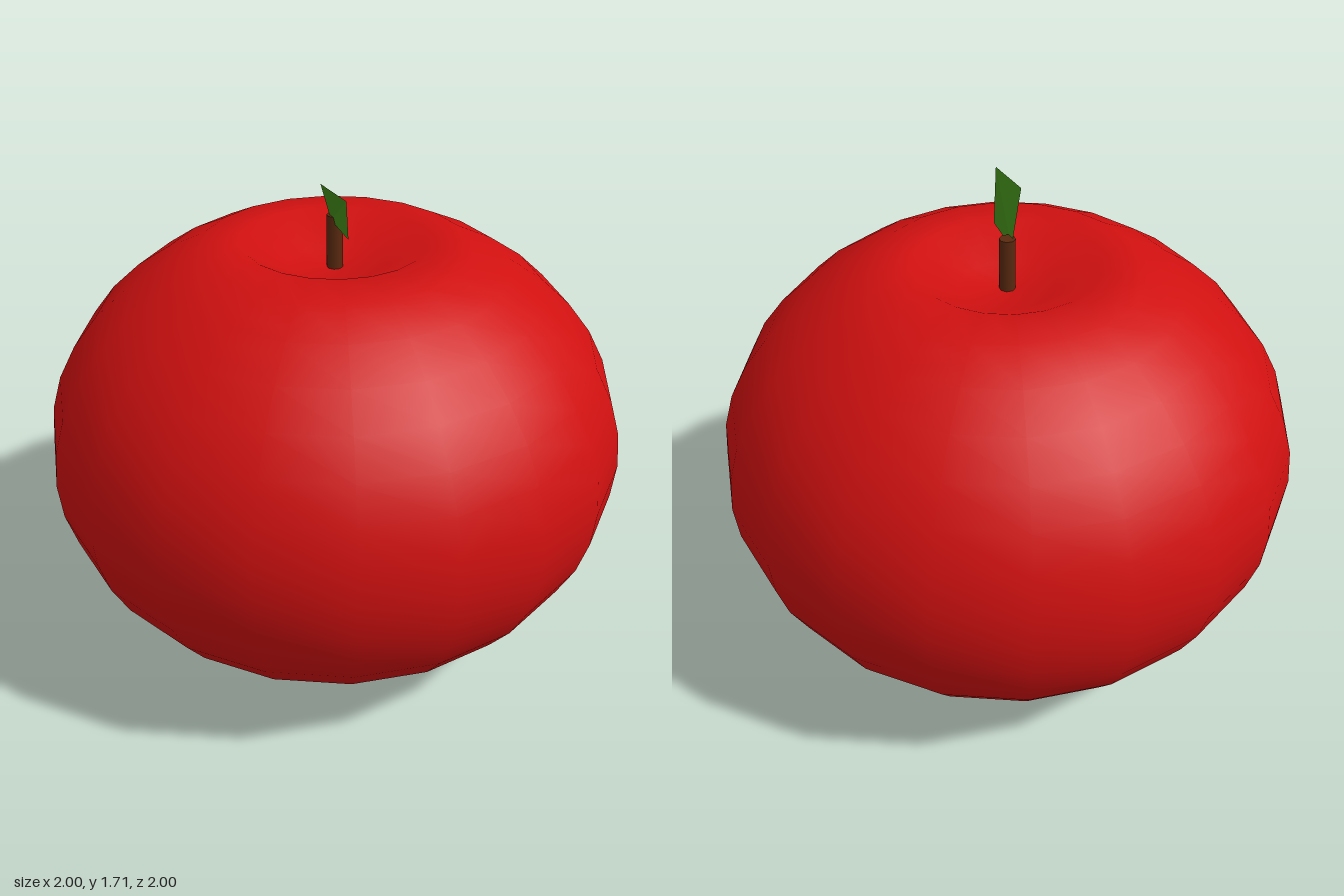
import * as THREE from 'three';

const SIDES = 20;

// Squashed sphere of revolution with a dimple at the top and bottom
function fruitBody() {
  const profile = [new THREE.Vector2(0, 0.05), new THREE.Vector2(Math.sin(Math.PI / SIDES), 0.03)];
  for (let i = 2; i <= SIDES - 3; i++) {
    const a = (i / SIDES) * Math.PI;
    profile.push(new THREE.Vector2(Math.sin(a), 0.761 - 0.8 * Math.cos(a)));
  }
  profile.push(
    new THREE.Vector2(0.309, 1.49),
    new THREE.Vector2(0.156, 1.41),
    new THREE.Vector2(0, 1.395)
  );
  return new THREE.LatheGeometry(profile, SIDES);
}

// Slanted four-cornered leaf, slightly folded along its diagonal
function leafBlade() {
  const corners = [
    [-0.02, 1.555, 0], [0.145, 1.555, 0.065],
    [0.205, 1.715, 0.125], [0.035, 1.715, 0.088]
  ];
  const positions = [0, 1, 2, 0, 2, 3].flatMap((i) => corners[i]);
  const geometry = new THREE.BufferGeometry();
  geometry.setAttribute('position', new THREE.Float32BufferAttribute(positions, 3));
  geometry.computeVertexNormals();
  return geometry;
}

export function createModel() {
  const model = new THREE.Group();
  model.name = 'apple';

  const add = (name, geometry, material) => {
    const mesh = new THREE.Mesh(geometry, material);
    mesh.name = name;
    model.add(mesh);
    return mesh;
  };

  add('body', fruitBody(), new THREE.MeshStandardMaterial({ color: 0xd01010 }));

  // Stem rising out of the top dimple
  const stem = add('stem', new THREE.CylinderGeometry(0.027, 0.027, 0.2, 8),
    new THREE.MeshStandardMaterial({ color: 0x5a2a10 }));
  stem.position.y = 1.48;

  add('leaf', leafBlade(),
    new THREE.MeshStandardMaterial({ color: 0x44901a, side: THREE.DoubleSide }));

  return model;
}
